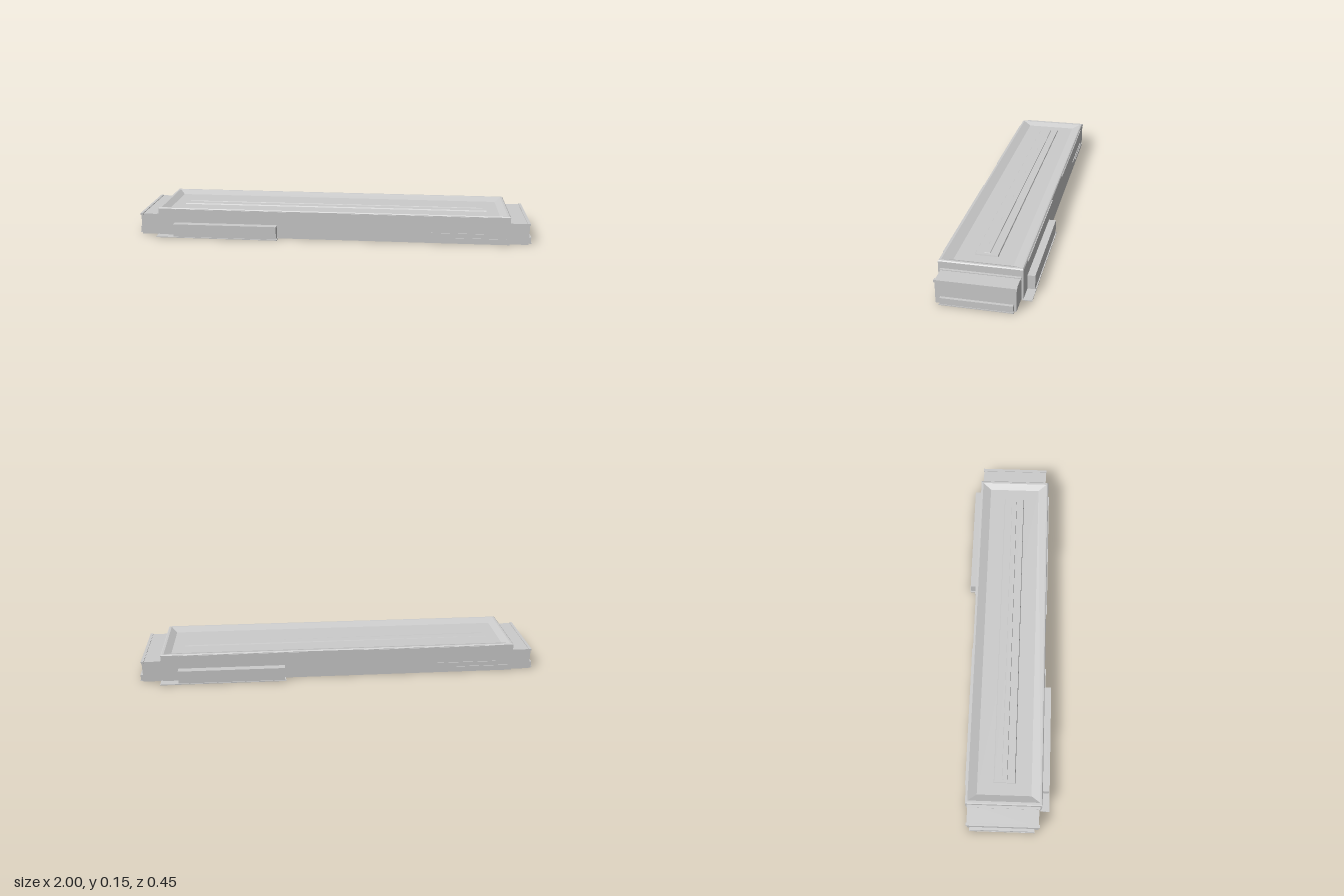
import * as THREE from 'three';

const material = new THREE.MeshStandardMaterial({ color: 0xcccccc, flatShading: true });

export function createModel() {
  const model = new THREE.Group();
  model.name = 'longHall';

  const add = (name, geometry, parent = model) => {
    const mesh = new THREE.Mesh(geometry, material);
    mesh.name = name;
    parent.add(mesh);
    return mesh;
  };

  // Box given by its minimum and maximum on each axis
  const box = (name, x0, x1, y0, y1, z0, z1, parent) => {
    const g = new THREE.BoxGeometry(x1 - x0, y1 - y0, z1 - z0);
    g.translate((x0 + x1) / 2, (y0 + y1) / 2, (z0 + z1) / 2);
    return add(name, g, parent);
  };

  // Skin through rectangular rings [half x, y, half z], closed at both ends
  const loft = (rings) => {
    const pos = [], index = [];
    for (const [x, y, z] of rings) pos.push(x, y, z, x, y, -z, -x, y, -z, -x, y, z);
    for (let r = 0; r < rings.length - 1; r++) {
      for (let i = 0; i < 4; i++) {
        const a = r * 4 + i, b = r * 4 + (i + 1) % 4;
        index.push(a, b, b + 4, a, b + 4, a + 4);
      }
    }
    const t = (rings.length - 1) * 4;
    index.push(0, 2, 1, 0, 3, 2, t, t + 1, t + 2, t, t + 2, t + 3);
    const g = new THREE.BufferGeometry();
    g.setAttribute('position', new THREE.Float32BufferAttribute(pos, 3));
    g.setIndex(index);
    const flat = g.toNonIndexed();
    flat.computeVertexNormals();
    return flat;
  };

  // Main hall: straight walls, narrow rim, roof sloping inward to a shallow basin
  add('mainHall', loft([
    [0.887, 0, 0.186], [0.887, 0.142, 0.186], [0.882, 0.146, 0.182],
    [0.872, 0.146, 0.175], [0.84, 0.13, 0.132],
  ]));

  // Skylight along the roof, with a narrow ridge on it
  add('skylight', loft([[0.782, 0.128, 0.054], [0.78, 0.135, 0.05]]));
  add('skylightRidge', loft([[0.766, 0.134, 0.014], [0.764, 0.138, 0.012]]));

  // Lower end blocks, each with a joint collar and a low outer step
  for (const s of [-1, 1]) {
    const end = new THREE.Group();
    end.name = s > 0 ? 'leftEndBlock' : 'rightEndBlock';
    model.add(end);
    const span = (a, b) => (s > 0 ? [a, b] : [-b, -a]);
    box('endHall', ...span(0.88, 0.983), 0, 0.108, -0.176, 0.172, end);
    box('endRoofEdge', ...span(0.972, 0.986), 0.1, 0.111, -0.179, 0.176, end);
    box('endRoofEdge', ...span(0.885, 0.9), 0.1, 0.111, -0.179, 0.176, end);
    box('lowStep', ...span(0.98, 0.997), 0, 0.033, -0.165, 0.15, end);
    box('endPlinth', ...span(0.98, 1), 0, 0.004, -0.168, 0.153, end);
  }

  // Side annexes on diagonally opposite corners, on thin plinths
  for (const s of [1, -1]) {
    const annex = new THREE.Group();
    annex.name = s > 0 ? 'frontAnnex' : 'backAnnex';
    annex.rotation.y = s > 0 ? 0 : Math.PI;
    model.add(annex);
    box('annexHall', -0.805, -0.277, 0, 0.07, 0.18, 0.22, annex);
    box('annexPlinth', -0.895, -0.272, 0, 0.004, 0.18, 0.225, annex);
  }

  // Thin ledges along both long walls
  for (const s of [-1, 1]) {
    const z = s > 0 ? [0.184, 0.19] : [-0.19, -0.184];
    for (const [x0, x1, y] of [[-0.8, -0.2, 0.136], [0.1, 0.8, 0.136], [0.5, 0.8, 0.05], [0.6, 0.87, 0.026]]) {
      box('wallLedge', Math.min(s * x0, s * x1), Math.max(s * x0, s * x1), y, y + 0.004, ...z);
    }
  }
  return model;
}
